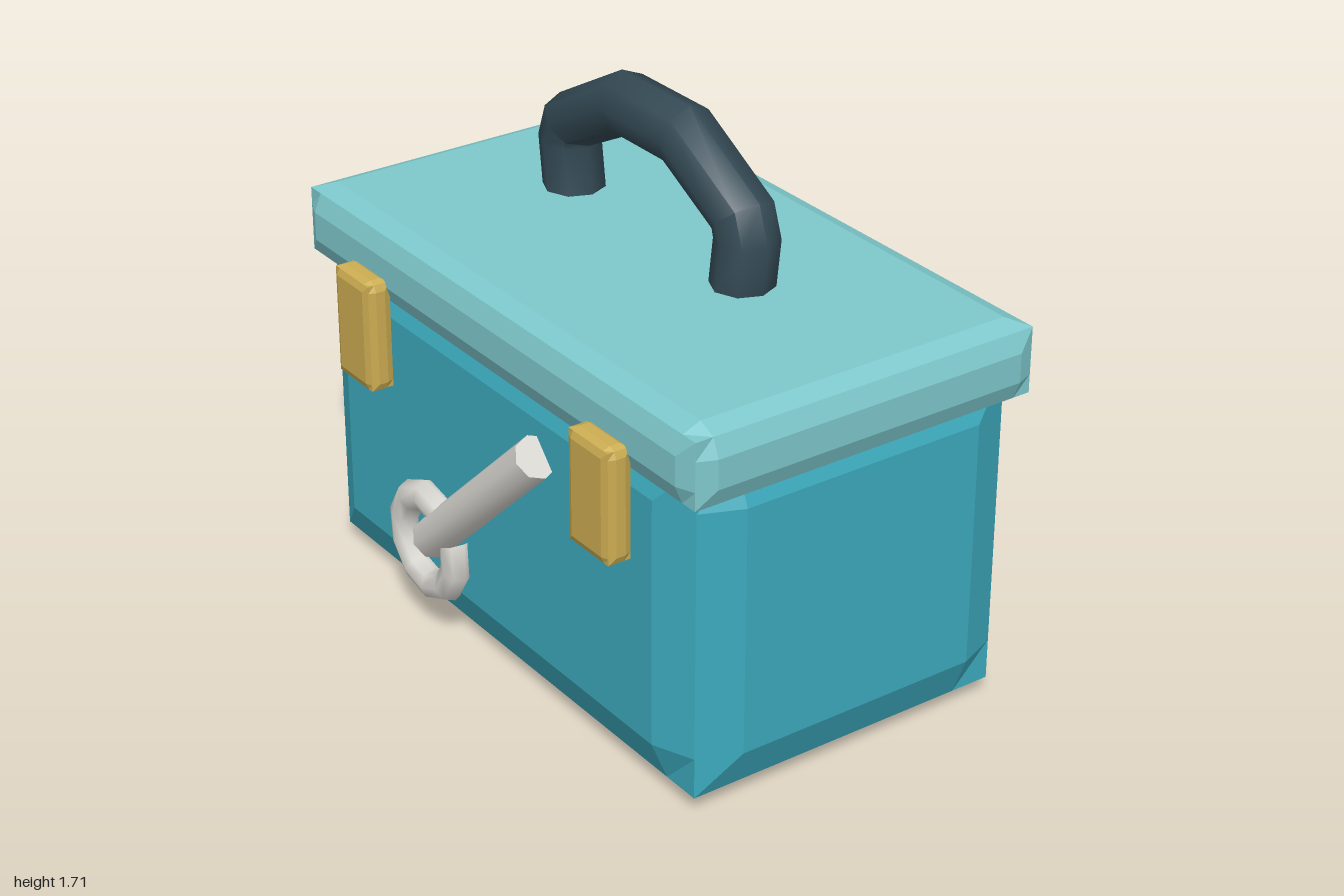
import * as THREE from 'three';
import { toCreasedNormals } from 'three/addons/utils/BufferGeometryUtils.js';

const mat = (name, color) => {
  const m = new THREE.MeshStandardMaterial({ color });
  m.name = name;
  return m;
};

// Box whose edges carry a two-step rounded bevel of radius r
function bevelBox(w, h, d, r) {
  const geo = new THREE.BoxGeometry(1, 1, 1, 3, 3, 3);
  const half = [w / 2, h / 2, d / 2];
  const inset = r * (1 - Math.SQRT1_2);
  const p = geo.attributes.position;
  for (let i = 0; i < p.count; i++) {
    const v = [p.getX(i), p.getY(i), p.getZ(i)];
    const outer = v.map((c) => Math.abs(c) > 0.4);
    const onEdge = outer.filter(Boolean).length > 1;
    const q = v.map((c, k) => Math.sign(c) * (half[k] - (outer[k] ? (onEdge ? inset : 0) : r)));
    p.setXYZ(i, ...q);
  }
  const flat = geo.toNonIndexed();
  flat.computeVertexNormals();
  return flat;
}

// Eight-sided tube following rings of [x, y, angle of the outer side]
function ringTube(rings, radius) {
  const n = rings.length - 1;
  const geo = new THREE.CylinderGeometry(radius, radius, 1, 8, n);
  const p = geo.attributes.position;
  for (let i = 0; i < p.count; i++) {
    const [cx, cy, a] = rings[Math.round((p.getY(i) + 0.5) * n)];
    const s = p.getX(i);
    p.setXYZ(i, cx + s * Math.cos(a), cy + s * Math.sin(a), p.getZ(i));
  }
  return toCreasedNormals(geo, 0.9);
}

export function createModel() {
  const group = new THREE.Group();
  const teal = mat('teal', 0x3caabd);
  const paleTeal = mat('paleTeal', 0x7ec8cc);
  const slate = mat('slate', 0x344a55);
  const brass = mat('brass', 0xccad52);
  const steel = mat('steel', 0xd8d6d0);

  const add = (name, geo, material, x = 0, y = 0, z = 0) => {
    const mesh = new THREE.Mesh(geo, material);
    mesh.name = name;
    mesh.position.set(x, y, z);
    group.add(mesh);
    return mesh;
  };

  // Box body and overhanging lid
  add('body', bevelBox(1.95, 1.13, 1.156, 0.18), teal, 0, 0.565, -0.037);
  add('lid', bevelBox(2, 0.25, 1.19, 0.08), paleTeal, 0, 1.1, -0.038);

  // Arched carrying handle, mirrored from its left half
  const side = [[0.413, 1.27, 0], [0.432, 1.415, 0.05], [0.41, 1.478, 0.68], [0.143, 1.622, 1.34]];
  const other = side.map(([x, y, a]) => [-x, y, Math.PI - a]).reverse();
  add('handle', ringTube([...side, ...other], 0.095), slate, 0, 0, -0.038);

  // Front latches
  for (const s of [-1, 1]) {
    add(s > 0 ? 'leftLatch' : 'rightLatch', bevelBox(0.2, 0.36, 0.09, 0.03), brass, s * 0.61, 0.9, 0.58);
  }

  // Wrench emblem: round shaft and open ring jaw
  const shaft = add('wrenchShaft', toCreasedNormals(new THREE.CylinderGeometry(0.066, 0.066, 0.78, 8), 0.9),
    steel, 0, 0.593, 0.568);
  shaft.rotation.z = -0.82;
  const jaw = add('wrenchJaw', new THREE.TorusGeometry(0.145, 0.05, 8, 9, 5.6), steel, -0.31, 0.305, 0.557);
  jaw.rotation.z = 1.05;

  return group;
}
